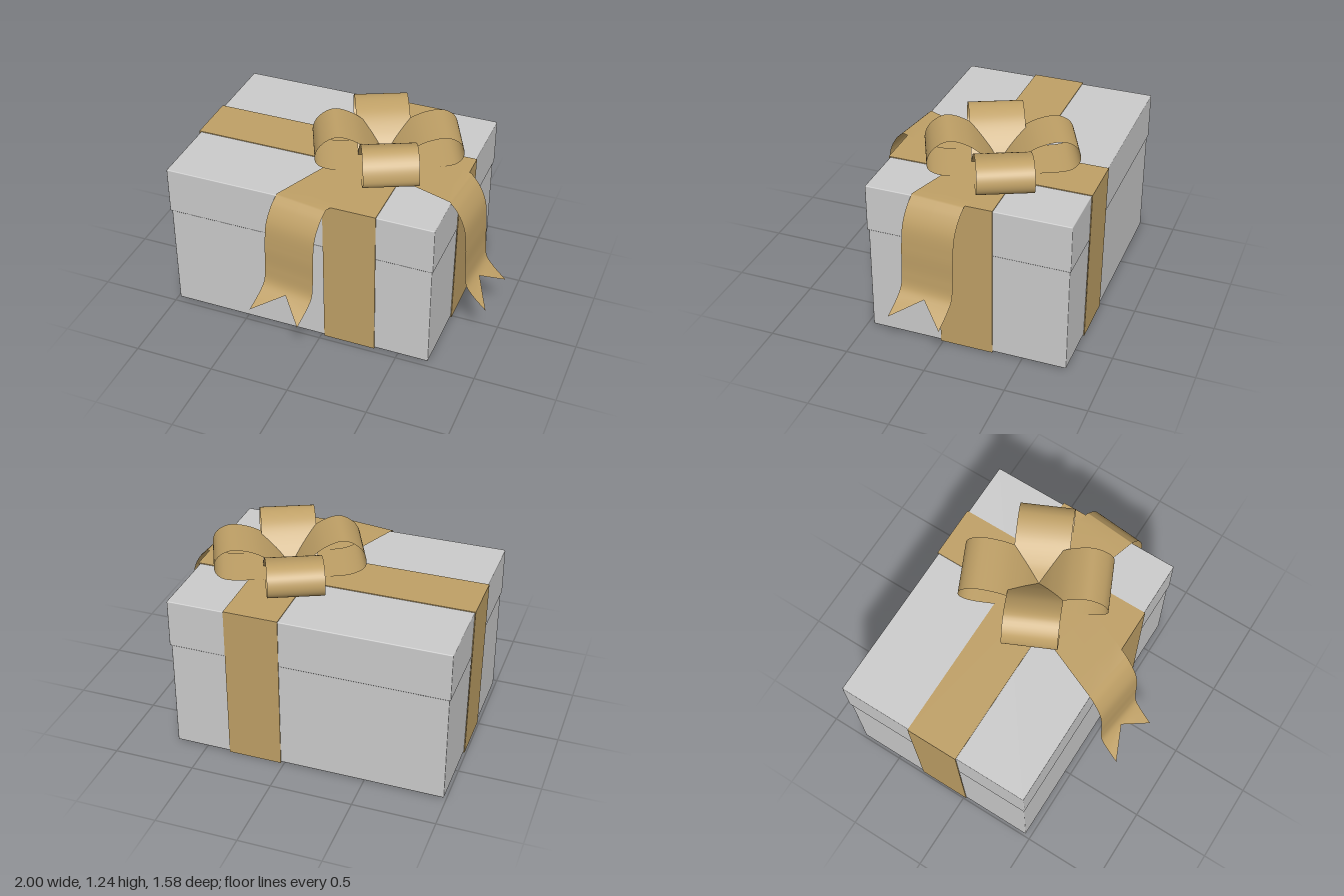
import * as THREE from 'three';
import { RoundedBoxGeometry } from 'three/addons/geometries/RoundedBoxGeometry.js';

const CX = -0.145, CZ = -0.155;          // middle of the box
const KNOT = new THREE.Vector3(0.174, 0, -0.16); // middle of the bow
const HALF = 0.166;                      // half the ribbon width

const paper = new THREE.MeshStandardMaterial({ color: 0xcccccc });
const ribbon = new THREE.MeshStandardMaterial({ color: 0xbfa066, side: THREE.DoubleSide });

function add(parent, name, geometry, material) {
  const mesh = new THREE.Mesh(geometry, material);
  mesh.name = name;
  parent.add(mesh);
  return mesh;
}

// Smooth sheet from rows of equally many points
function sheet(rows) {
  const n = rows[0].length, index = [];
  for (let i = 0; i < rows.length - 1; i++) {
    for (let j = 0; j < n - 1; j++) {
      const a = i * n + j, b = a + n;
      index.push(a, a + 1, b, a + 1, b + 1, b);
    }
  }
  const g = new THREE.BufferGeometry().setFromPoints(rows.flat());
  g.setIndex(index);
  g.computeVertexNormals();
  return g;
}

// Smooth 2D profile through [distance, height] pairs
function profile(pairs, steps) {
  const pts = pairs.map(([s, y]) => new THREE.Vector3(s, y, 0));
  return new THREE.CatmullRomCurve3(pts).getPoints(steps);
}

// Flat band around the box, slightly narrower at the foot
function strapGeometry(top, foot, width) {
  const t = 0.005;
  const quad = (a, b, y0, y1) => [[-b, y0], [b, y0], [a, y1], [-a, y1]].map(p => new THREE.Vector2(...p));
  const shape = new THREE.Shape(quad(top, foot, 0, 0.998));
  shape.holes.push(new THREE.Path(quad(top - t, foot - t, t, 0.998 - t)));
  return new THREE.ExtrudeGeometry(shape, { depth: width, bevelEnabled: false }).translate(0, 0, -width / 2);
}

// Teardrop bow loop leaving the knot along +x
function loopGeometry(pairs) {
  return sheet(profile(pairs, 48).map(p =>
    [-HALF, HALF].map(w => new THREE.Vector3(p.x, p.y, w))));
}

// Ribbon end: lies on the lid up to the edge, then hangs down to a swallowtail
function tailGeometry(edge, dir, across) {
  const rows = [];
  const flat = edge.clone().sub(KNOT).normalize();
  const square = new THREE.Vector3(flat.z, 0, -flat.x).multiplyScalar(HALF);
  for (let i = 0; i < 6; i++) {
    const t = i / 6;
    const mid = KNOT.clone().lerp(edge, t).setY(1.001);
    const w = square.clone().lerp(across, t);
    rows.push([-1, 0, 1].map(k => mid.clone().addScaledVector(w, k)));
  }
  const hang = profile([[0, 1.001], [0.055, 0.945], [0.105, 0.85], [0.125, 0.7],
    [0.13, 0.54], [0.145, 0.44], [0.19, 0.385], [0.285, 0.31]], 48);
  const notch = hang.findIndex(p => p.y < 0.41);
  hang.forEach((p, i) => {
    rows.push([-1, 0, 1].map(k => {
      const q = k === 0 ? hang[Math.min(i, notch)] : p;
      return edge.clone().addScaledVector(dir, q.x).addScaledVector(across, k).setY(q.y);
    }));
  });
  return sheet(rows);
}

export function createModel() {
  const model = new THREE.Group();
  model.name = 'giftBox';

  // Box and lid
  add(model, 'boxBase', new RoundedBoxGeometry(1.68, 0.71, 1.236, 1, 0.006), paper)
    .position.set(CX, 0.359, CZ);
  add(model, 'lid', new RoundedBoxGeometry(1.696, 0.3, 1.252, 1, 0.006), paper)
    .position.set(CX, 0.842, CZ);

  // Two crossing straps
  add(model, 'lengthStrap', strapGeometry(0.855, 0.846, 0.33), ribbon)
    .position.set(CX, 0, -0.15);
  const cross = add(model, 'crossStrap', strapGeometry(0.632, 0.624, 0.33), ribbon);
  cross.rotation.y = Math.PI / 2;
  cross.position.set(0.185, 0, CZ);

  // Four bow loops: two long and low, two short and high
  const bow = new THREE.Group();
  bow.name = 'bow';
  bow.position.copy(KNOT);
  model.add(bow);
  const low = [[0, 1.002], [0.2, 1.004], [0.4, 1.018], [0.448, 1.055], [0.46, 1.105],
    [0.435, 1.165], [0.36, 1.205], [0.22, 1.18], [0.09, 1.095], [0, 1.002]];
  const high = [[0, 1.002], [0.2, 1.004], [0.35, 1.015], [0.42, 1.05], [0.435, 1.09],
    [0.405, 1.175], [0.31, 1.235], [0.19, 1.2], [0.08, 1.105], [0, 1.002]];
  const tilt = Math.atan2(0.42, 0.91);
  [['rightBackLoop', low, 0], ['leftBackLoop', low, 1],
    ['leftFrontLoop', high, 2], ['rightFrontLoop', high, 3]].forEach(([name, pairs, quarter]) => {
    add(bow, name, loopGeometry(pairs), ribbon).rotation.y = tilt + quarter * Math.PI / 2;
  });

  // Two hanging ribbon ends
  const v = (x, z) => new THREE.Vector3(x, 0, z);
  add(model, 'frontTail', tailGeometry(v(-0.105, 0.49), v(-0.28, 0.96), v(0.165, 0.025)), ribbon);
  add(model, 'sideTail', tailGeometry(v(0.71, 0.012), v(0.965, 0.19), v(0.015, -0.165)), ribbon);

  return model;
}
